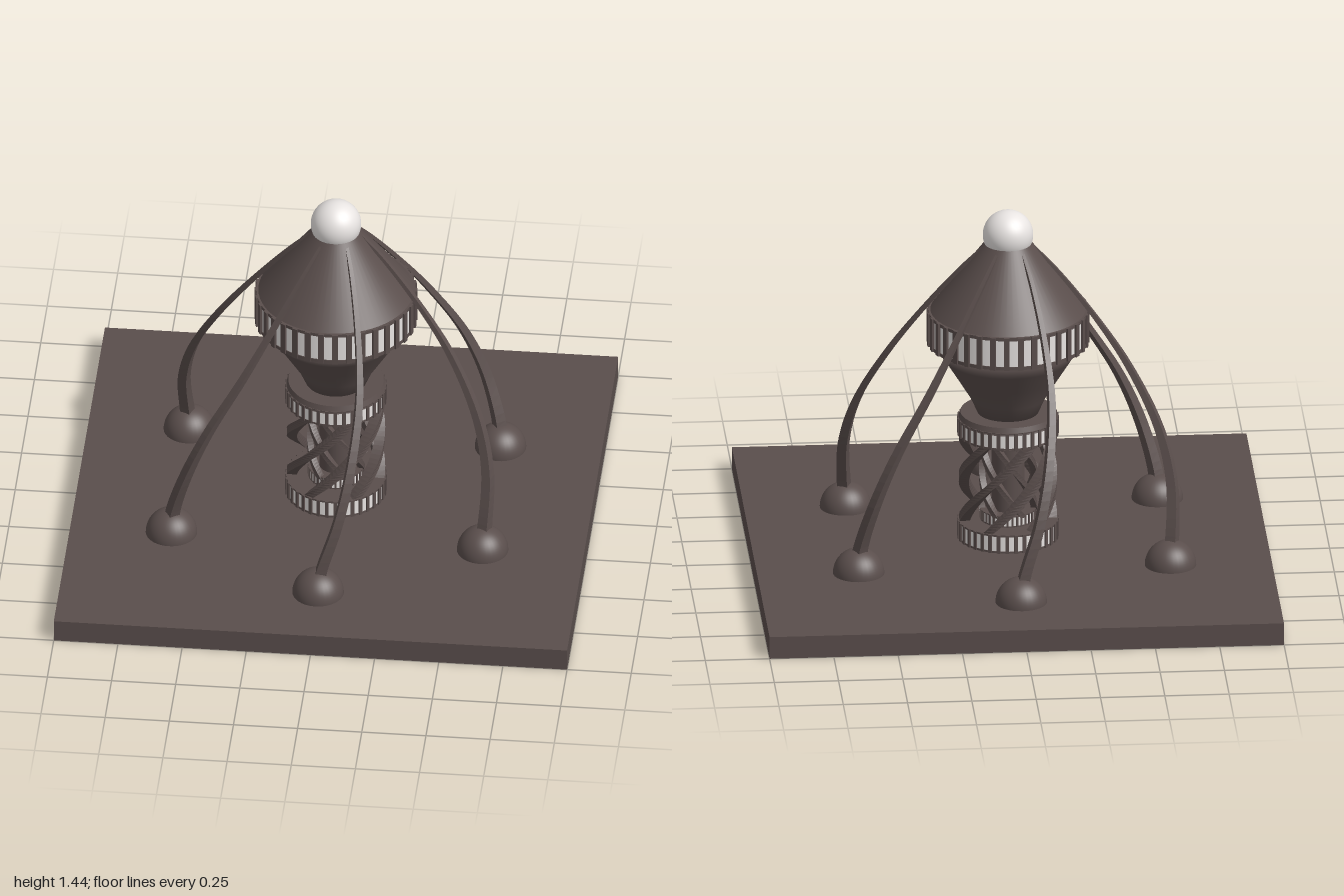
import * as THREE from 'three';

const dark = new THREE.MeshStandardMaterial({ color: 0x5a4e4c });
const light = new THREE.MeshStandardMaterial({ color: 0xe8e4e2 });
const darkFlat = dark.clone();
darkFlat.flatShading = true;
darkFlat.side = THREE.DoubleSide;

function add(parent, name, geometry, material, y = 0) {
  const mesh = new THREE.Mesh(geometry, material);
  mesh.name = name;
  mesh.position.y = y;
  parent.add(mesh);
  return mesh;
}

// Square bar made of horizontal sections; at(t) gives { x, y, z, size, turn }
function sweptBar(at, steps) {
  const pos = [], idx = [];
  for (let i = 0; i <= steps; i++) {
    const p = at(i / steps);
    for (let k = 0; k < 4; k++) {
      const a = p.turn + Math.PI / 4 + k * Math.PI / 2;
      const r = p.size * Math.SQRT1_2;
      pos.push(p.x + Math.sin(a) * r, p.y, p.z + Math.cos(a) * r);
      if (i < steps) {
        const b = i * 4 + k, c = i * 4 + (k + 1) % 4;
        idx.push(b, c, c + 4, b, c + 4, b + 4);
      }
    }
  }
  const e = steps * 4;
  idx.push(0, 2, 1, 0, 3, 2, e, e + 1, e + 2, e, e + 2, e + 3);
  const g = new THREE.BufferGeometry();
  g.setAttribute('position', new THREE.Float32BufferAttribute(pos, 3));
  g.setIndex(idx);
  g.computeVertexNormals();
  return g;
}

// Light drum with dark ribs around it and dark rims
function ribbedRing(parent, name, radius, y0, y1) {
  const ring = new THREE.Group();
  ring.name = name;
  parent.add(ring);
  const h = y1 - y0, mid = (y0 + y1) / 2, count = 36, rim = h * 0.1;
  add(ring, 'drum', new THREE.CylinderGeometry(radius * 0.97, radius * 0.97, h - rim, 72), light, mid);
  for (const y of [y0 + rim / 2, y1 - rim / 2])
    add(ring, 'rim', new THREE.CylinderGeometry(radius * 0.98, radius * 0.98, rim, 72), dark, y);
  const rib = new THREE.BoxGeometry(radius * 0.07, h, radius * 0.06);
  for (let i = 0; i < count; i++) {
    const a = (i + 0.5) / count * Math.PI * 2;
    const m = add(ring, 'rib', rib, dark, mid);
    m.position.x = Math.sin(a) * radius * 0.97;
    m.position.z = Math.cos(a) * radius * 0.97;
    m.rotation.y = a;
  }
}

// Six helical strands around the column
function strands(parent, name, radius, size, y0, y1, twist) {
  const bar = sweptBar(t => {
    const a = Math.PI / 6 + twist * t;
    return { x: Math.sin(a) * radius, y: y0 + (y1 - y0) * t, z: Math.cos(a) * radius, size, turn: a };
  }, 28);
  for (let i = 0; i < 6; i++) add(parent, name, bar, darkFlat).rotation.y = i * Math.PI / 3;
}

export function createModel() {
  const model = new THREE.Group();
  model.name = 'tower';

  add(model, 'base', new THREE.BoxGeometry(2, 0.09, 2), dark, 0.045);

  // Column, rings and strands of the stem
  add(model, 'column', new THREE.CylinderGeometry(0.065, 0.065, 0.5, 32), dark, 0.34);
  ribbedRing(model, 'lowerRing', 0.198, 0.09, 0.165);
  ribbedRing(model, 'lowerCollar', 0.11, 0.165, 0.21);
  ribbedRing(model, 'upperCollar', 0.11, 0.48, 0.53);
  ribbedRing(model, 'upperRing', 0.198, 0.52, 0.59);
  add(model, 'upperRingLid', new THREE.CylinderGeometry(0.185, 0.196, 0.03, 48), dark, 0.595);
  strands(model, 'outerStrand', 0.17, 0.04, 0.16, 0.53, Math.PI * 2 / 3);
  strands(model, 'innerStrand', 0.1, 0.024, 0.2, 0.49, -Math.PI * 2 / 3);

  // Bulb: two cones joined by the ribbed band
  const bowl = [[0, 0.6], [0.115, 0.6], [0.145, 0.67], [0.2, 0.76], [0.25, 0.84], [0.29, 0.905], [0, 0.905]];
  add(model, 'bulbBottom', new THREE.LatheGeometry(bowl.map(p => new THREE.Vector2(...p)), 64), dark);
  ribbedRing(model, 'bulbBand', 0.316, 0.9, 1.035);
  add(model, 'bulbTop', new THREE.CylinderGeometry(0.085, 0.305, 0.29, 64), dark, 1.175);
  add(model, 'topBall', new THREE.SphereGeometry(0.098, 40, 28), light, 1.345);

  // Curved tapering legs on domed feet
  const path = new THREE.CatmullRomCurve3([
    [0, 0.12, 0.7], [0.015, 0.2, 0.7], [0.075, 0.4, 0.67], [0.115, 0.6, 0.595],
    [0.135, 0.82, 0.46], [0.12, 1.0, 0.33], [0.08, 1.2, 0.17], [0.045, 1.31, 0.07],
  ].map(p => new THREE.Vector3(...p)));
  const legBar = sweptBar(t => {
    const p = path.getPoint(t);
    return { x: p.x, y: p.y, z: p.z, size: 0.047 - 0.035 * t, turn: t * Math.PI / 6 };
  }, 40);
  const dome = new THREE.SphereGeometry(0.1, 32, 16, 0, Math.PI * 2, 0, Math.PI / 2);
  for (let i = 0; i < 6; i++) {
    const leg = new THREE.Group();
    leg.name = 'leg';
    leg.rotation.y = i * Math.PI / 3;
    model.add(leg);
    add(leg, 'legBar', legBar, darkFlat);
    add(leg, 'foot', dome, dark, 0.09).position.z = 0.7;
  }
  return model;
}
